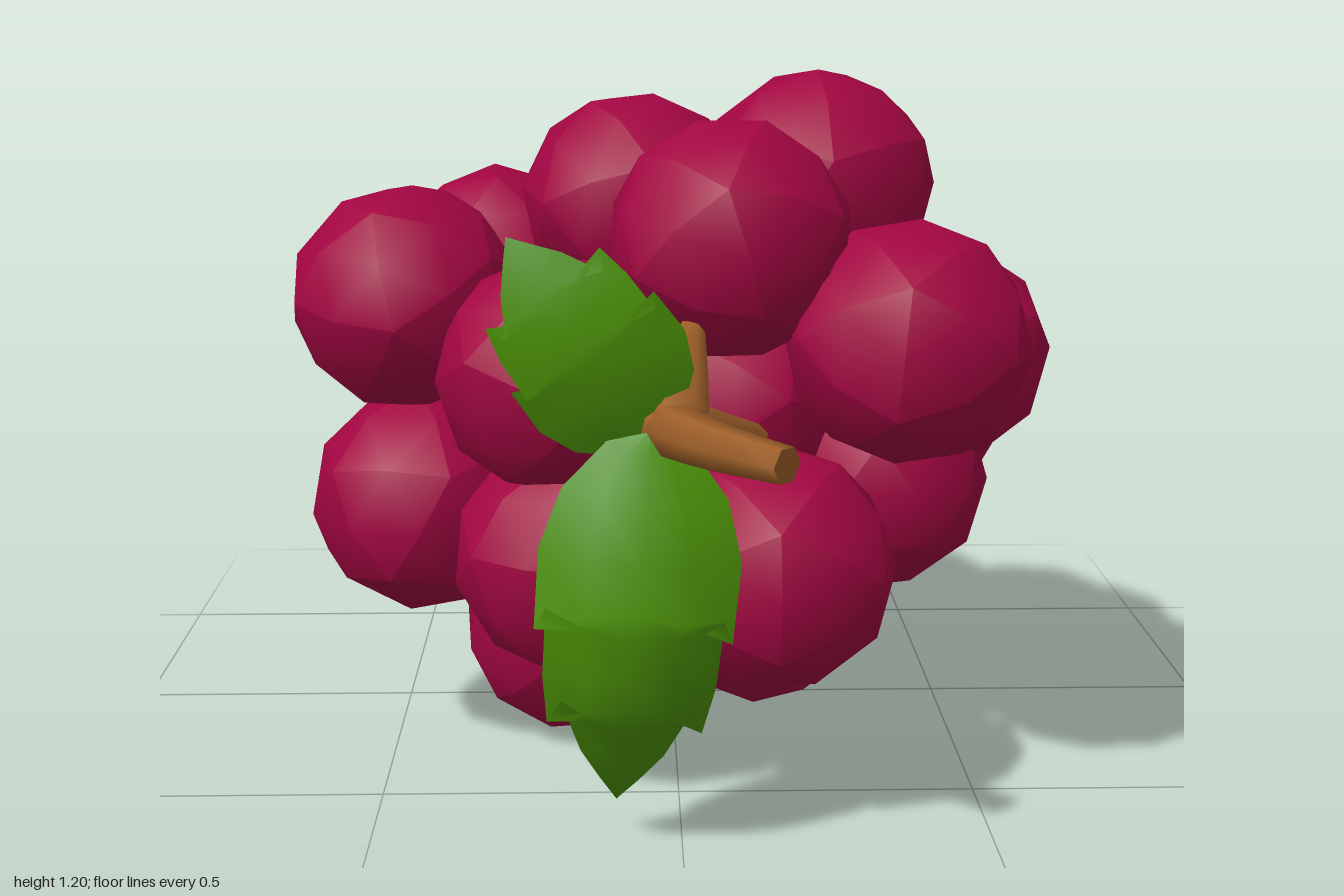
import * as THREE from 'three';

const berryMat = new THREE.MeshStandardMaterial({ color: 0xa20641 });
const leafMat = new THREE.MeshStandardMaterial({ color: 0x4c9207, side: THREE.DoubleSide });
const stemMat = new THREE.MeshStandardMaterial({ color: 0x9c5e28 });

// Berry centres and optional size factor, from the stem end to the tip
const berries = [
  [0.15, 0.42, 0.57], [0.37, 0.78, 0.52], [-0.2, 0.715, 0.45], [-0.175, 0.41, 0.45], [0.085, 0.94, 0.455],
  [-0.47, 0.805, 0.19], [-0.44, 0.45, 0.22], [-0.18, 0.2, 0.15], [-0.07, 0.955, 0.075], [0.25, 0.995, 0.16, 1.03],
  [0.465, 0.7, 0.17], [0.36, 0.47, 0.17], [0.15, 0.26, 0.18], [0.1, 0.62, 0.2],
  [0.23, 0.87, -0.06], [0.43, 0.505, -0.145], [0.24, 0.28, -0.235, 1.03], [-0.02, 0.25, -0.25], [-0.325, 0.8, -0.17],
  [-0.31, 0.45, -0.1], [0.03, 0.77, -0.26], [0.185, 0.535, -0.44], [-0.23, 0.515, -0.485, 1.02],
  [0.015, 0.61, -0.615, 1.07], [0.02, 0.265, -0.575, 1.08], [0.02, 0.42, -0.765, 1.03],
];

// Coarse sphere with soft creases between its twenty main faces,
// turned differently each time and stretched along z
function makeBerry([x, y, z, size = 1], i) {
  const geo = new THREE.IcosahedronGeometry(1, 1);
  const { position, normal } = geo.attributes;
  const perFace = position.count / 20;
  const p = new THREE.Vector3(), mean = new THREE.Vector3();
  for (let f = 0; f < 20; f++) {
    mean.set(0, 0, 0);
    for (let k = 0; k < perFace; k++) mean.add(p.fromBufferAttribute(position, f * perFace + k));
    mean.normalize();
    for (let k = 0; k < perFace; k++) {
      const j = f * perFace + k;
      p.fromBufferAttribute(position, j).lerp(mean, 0.35).normalize();
      normal.setXYZ(j, p.x, p.y, p.z);
    }
  }
  geo.rotateX(i * 1.3).rotateY(i * 2.1).rotateZ(i * 0.7);
  geo.scale(0.204 * size, 0.2 * size, 0.226 * size);
  const mesh = new THREE.Mesh(geo, berryMat);
  mesh.name = 'berry';
  mesh.position.set(x, y, z);
  return mesh;
}

// Tapered six-sided branch along a curve
function makeBranch(name, points, r0, r1) {
  const curve = new THREE.CatmullRomCurve3(points.map((p) => new THREE.Vector3(...p)));
  const n = 6, sides = 6;
  const geo = new THREE.TubeGeometry(curve, n, 1, sides);
  const pos = geo.attributes.position;
  const v = new THREE.Vector3();
  for (let i = 0; i < pos.count; i++) {
    const t = Math.floor(i / (sides + 1)) / n;
    const c = curve.getPointAt(t);
    v.fromBufferAttribute(pos, i).sub(c).multiplyScalar(r0 + (r1 - r0) * t).add(c);
    pos.setXYZ(i, v.x, v.y, v.z);
  }
  geo.computeVertexNormals();
  const branch = new THREE.Group();
  branch.name = name;
  branch.add(new THREE.Mesh(geo, stemMat));
  // Flat end cap
  const cap = new THREE.Mesh(new THREE.CircleGeometry(r1, sides), stemMat);
  cap.position.copy(curve.getPointAt(1));
  cap.lookAt(cap.position.clone().add(curve.getTangentAt(1)));
  branch.add(cap);
  return branch;
}

// Leaf rows: position on the midrib, position on the edge, half width (saw teeth point to the tip)
const leafRows = [
  [0, 0, 0.02], [0.06, 0.03, 0.42], [0.18, 0.15, 0.82], [0.3, 0.3, 1], [0.42, 0.5, 0.98],
  [0.48, 0.44, 0.88], [0.6, 0.62, 0.86], [0.68, 0.76, 0.78], [0.74, 0.68, 0.66],
  [0.82, 0.83, 0.42], [0.9, 0.92, 0.2], [1, 1, 0],
];

// Cupped leaf from base to tip, with a forward bulge in the middle
function makeLeaf(name, base, tip, halfWidth, bulge, cup) {
  const a = new THREE.Vector3(...base), b = new THREE.Vector3(...tip);
  const along = b.clone().sub(a);
  const side = new THREE.Vector3(along.y, -along.x, 0).normalize();
  const pos = [], index = [];
  leafRows.forEach(([tMid, tEdge, w], row) => {
    for (let k = -2; k <= 2; k++) {
      const s = k / 2;
      const t = tMid + (tEdge - tMid) * s * s;
      const p = a.clone().addScaledVector(along, t).addScaledVector(side, s * w * halfWidth);
      p.z += bulge * Math.sin(Math.PI * t) - cup * s * s * w * w;
      pos.push(p.x, p.y, p.z);
      if (row > 0 && k < 2) {
        const i = row * 5 + k + 2;
        index.push(i - 5, i - 4, i, i - 4, i + 1, i);
      }
    }
  });
  const geo = new THREE.BufferGeometry();
  geo.setAttribute('position', new THREE.Float32BufferAttribute(pos, 3));
  geo.setIndex(index);
  geo.computeVertexNormals();
  const mesh = new THREE.Mesh(geo, leafMat);
  mesh.name = name;
  return mesh;
}

export function createModel() {
  const model = new THREE.Group();
  model.name = 'berryCluster';

  const cluster = new THREE.Group();
  cluster.name = 'berries';
  berries.forEach((b, i) => cluster.add(makeBerry(b, i)));
  model.add(cluster);

  // Stem and the twigs spreading into the cluster
  const stem = new THREE.Group();
  stem.name = 'stem';
  stem.add(makeBranch('mainStem', [[-0.015, 0.68, 0.66], [-0.015, 0.695, 0.78], [0.045, 0.695, 0.89], [0.14, 0.69, 0.985]], 0.05, 0.029));
  const fork = [-0.01, 0.69, 0.75];
  const twigEnds = [[0.015, 0.815, 0.6], [0.12, 0.64, 0.6], [-0.15, 0.66, 0.58], [-0.01, 0.56, 0.62]];
  twigEnds.forEach((end) => {
    const mid = fork.map((f, i) => (f + end[i]) / 2 + (i === 2 ? 0.01 : 0));
    stem.add(makeBranch('twig', [fork, mid, end], 0.05, 0.024));
  });
  model.add(stem);

  model.add(makeLeaf('upperLeaf', [-0.04, 0.67, 0.74], [-0.265, 0.985, 0.755], 0.135, 0.05, 0.035));
  model.add(makeLeaf('lowerLeaf', [-0.05, 0.69, 0.77], [-0.105, 0.07, 0.69], 0.155, 0.135, 0.06));
  return model;
}
